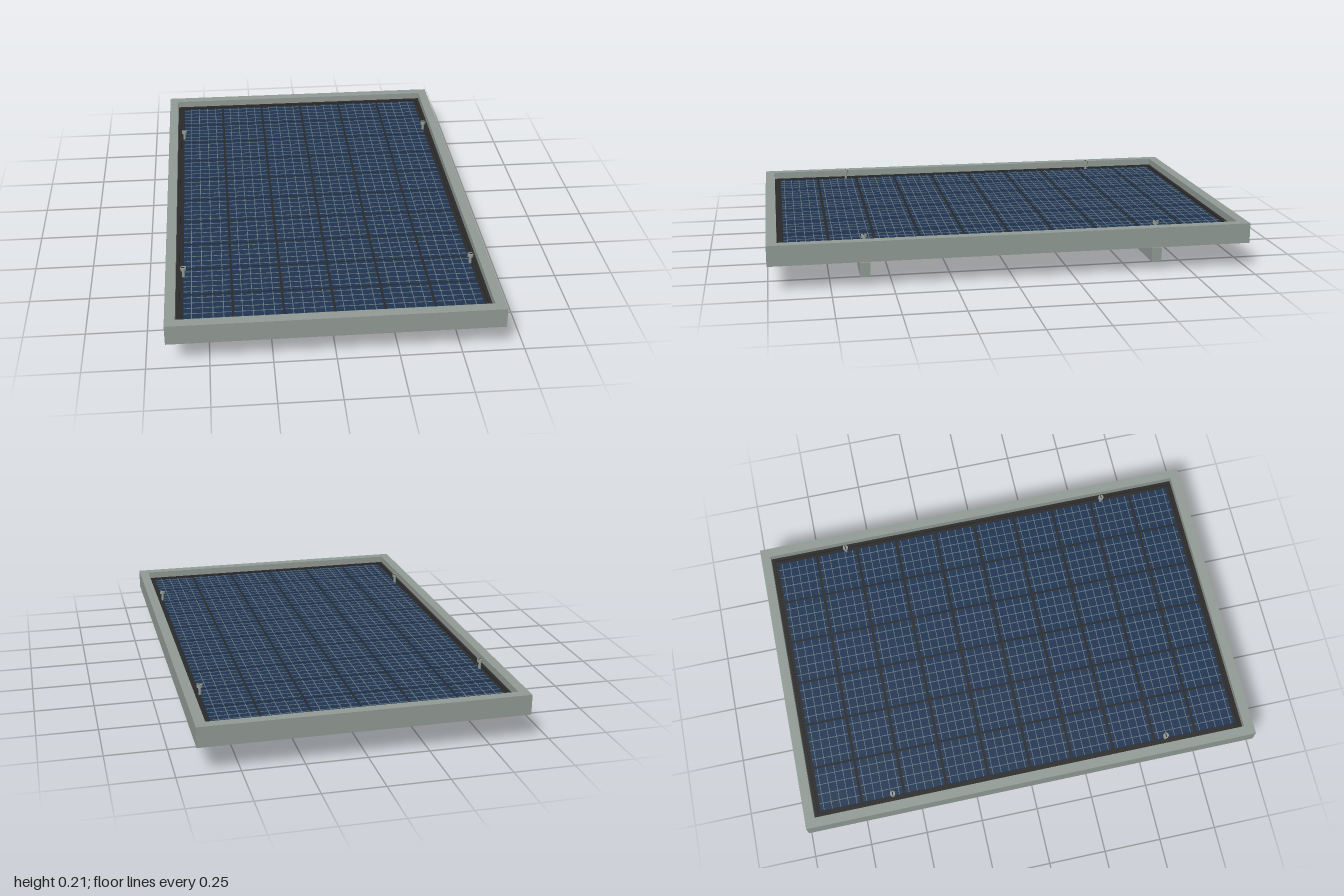
import * as THREE from 'three';
import { mergeGeometries } from 'three/addons/utils/BufferGeometryUtils.js';
import { RoundedBoxGeometry } from 'three/addons/geometries/RoundedBoxGeometry.js';

const material = (name, color) => new THREE.MeshStandardMaterial({ name, color });

export function createModel() {
  const aluminium = material('aluminium', 0x929b96);
  const navy = material('cell navy', 0x1f3553);
  const black = material('black plastic', 0x2a2a2a);
  const silver = material('silver lines', 0x66757c);

  const model = new THREE.Group();
  model.name = 'solarPanel';

  const add = (name, geometry, mat, x = 0, y = 0, z = 0) => {
    const mesh = new THREE.Mesh(geometry, mat);
    mesh.name = name;
    mesh.position.set(x, y, z);
    model.add(mesh);
    return mesh;
  };
  const box = (w, h, d, x = 0, y = 0, z = 0) =>
    new THREE.BoxGeometry(w, h, d).translate(x, y, z);
  const rectangle = (target, w, d) => {
    target.moveTo(-w, -d);
    target.lineTo(w, -d);
    target.lineTo(w, d);
    target.lineTo(-w, d);
    target.closePath();
    return target;
  };
  // Flat rectangular ring lying in the xz plane, rising from y = 0
  const ring = (w, d, innerW, innerD, height) => {
    const shape = rectangle(new THREE.Shape(), w, d);
    shape.holes.push(rectangle(new THREE.Path(), innerW, innerD));
    return new THREE.ExtrudeGeometry(shape, { depth: height, bevelEnabled: false })
      .rotateX(-Math.PI / 2);
  };

  // Outer frame, back sheet, dark backing and inner seal
  add('frame', ring(0.668, 1, 0.626, 0.957, 0.085), aluminium, 0, 0.115, 0);
  add('backSheet', box(1.256, 0.025, 1.918), aluminium, 0, 0.1325, 0);
  add('backing', box(1.256, 0.018, 1.918), black, 0, 0.154, 0);
  add('seal', ring(0.626, 0.957, 0.612, 0.943, 0.007), black, 0, 0.163, 0);

  // Six by ten cells with their collector lines
  const columns = 6, rows = 10, pitchX = 0.2, pitchZ = 0.187;
  const cellW = 0.19, cellD = 0.175;
  const cells = [], lines = [];
  for (let i = 0; i < columns; i++) {
    for (let j = 0; j < rows; j++) {
      const x = (i - (columns - 1) / 2) * pitchX;
      const z = (j - (rows - 1) / 2) * pitchZ;
      cells.push(box(cellW, 0.004, cellD, x, 0.165, z));
      for (let k = -1.5; k <= 1.5; k++) {
        lines.push(box(0.003, 0.002, cellD, x + k * 0.042, 0.1675, z));
      }
      for (let k = -2; k <= 2; k++) {
        lines.push(box(cellW, 0.002, 0.003, x, 0.1673, z + k * 0.036));
      }
    }
  }
  add('cells', mergeGeometries(cells), navy);
  add('collectorLines', mergeGeometries(lines), silver);

  // Mounting rails with slotted bolts
  for (const z of [-0.61, 0.61]) {
    add('mountingRail', box(1.256, 0.06, 0.042), aluminium, 0, 0.07, z);
    for (const x of [-0.595, 0.595]) {
      add('boltShaft', new THREE.CylinderGeometry(0.006, 0.006, 0.035, 12), aluminium, x, 0.18, z);
      add('boltHead', new THREE.CylinderGeometry(0.012, 0.012, 0.013, 16), aluminium, x, 0.2025, z);
      add('boltSlot', box(0.018, 0.002, 0.004), black, x, 0.209, z);
    }
  }

  // Junction box below the panel
  add('junctionBox', new RoundedBoxGeometry(0.296, 0.084, 0.308, 2, 0.012), black, 0, 0.077, -0.367);

  // Two drooping cables with connectors
  for (const side of [-1, 1]) {
    const path = new THREE.CatmullRomCurve3([
      [0.07, 0.042, -0.37], [0.115, 0.026, -0.24], [0.17, 0.012, -0.09],
      [0.22, 0.02, 0.04], [0.26, 0.038, 0.15],
    ].map(([x, y, z]) => new THREE.Vector3(side * x, y, z)));
    add('cable', new THREE.TubeGeometry(path, 32, 0.01, 10), black);
    const plug = add('connector', new RoundedBoxGeometry(0.036, 0.032, 0.08, 2, 0.006), black,
      side * 0.265, 0.038, 0.182);
    plug.rotation.y = side * 0.15;
  }
  return model;
}
